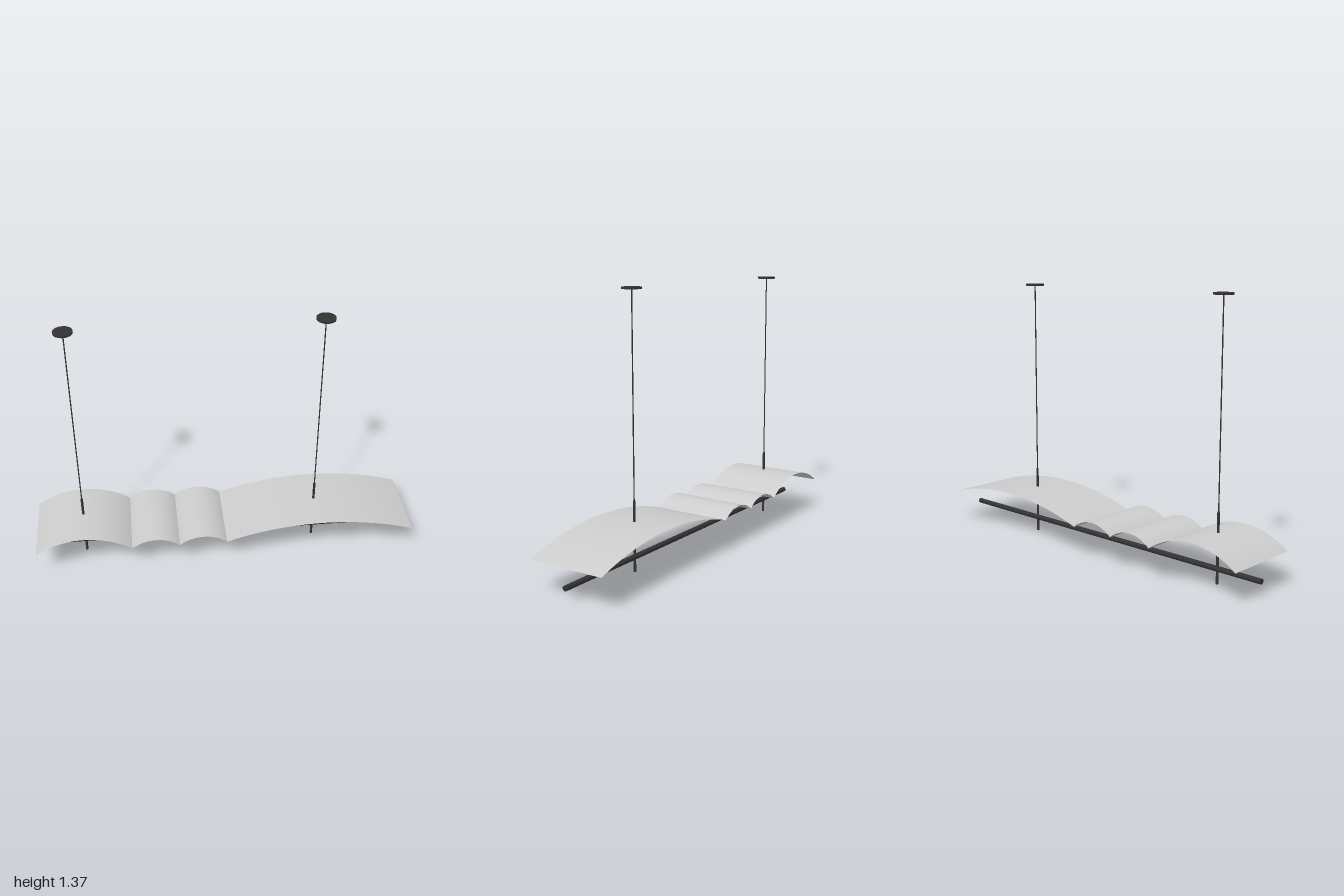
import * as THREE from 'three';

const DEPTH = 0.417, SHEET_BASE = 0.168, BAR_Y = 0.075, TOP = 1.37;

// Thin sheet bent to a circular arc spanning x0..x1
function archGeometry(x0, x1, rise) {
  const half = (x1 - x0) / 2, mid = (x0 + x1) / 2;
  const radius = (half * half + rise * rise) / (2 * rise);
  const sweep = Math.asin(half / radius);
  const geo = new THREE.PlaneGeometry(2, DEPTH, 32, 1).rotateX(-Math.PI / 2);
  const pos = geo.attributes.position, nor = geo.attributes.normal;
  for (let i = 0; i < pos.count; i++) {
    const a = pos.getX(i) * sweep;
    pos.setX(i, mid + radius * Math.sin(a));
    pos.setY(i, SHEET_BASE + rise - radius + radius * Math.cos(a));
    nor.setXYZ(i, Math.sin(a), Math.cos(a), 0);
  }
  return geo;
}

export function createModel() {
  const model = new THREE.Group();
  model.name = 'pendantLamp';
  const shadeMat = new THREE.MeshStandardMaterial({ color: 0xcccccc, side: THREE.DoubleSide });
  shadeMat.name = 'light grey shade';
  const metalMat = new THREE.MeshStandardMaterial({ color: 0x333333 });
  metalMat.name = 'dark metal';

  const add = (parent, name, geo, mat) => {
    const mesh = new THREE.Mesh(geo, mat);
    mesh.name = name;
    parent.add(mesh);
    return mesh;
  };

  // Wavy shade: one wide, two small and one medium arch
  const shade = new THREE.Group();
  shade.name = 'shade';
  model.add(shade);
  [[-1, -0.5, 0.084], [-0.5, -0.25, 0.047], [-0.25, 0, 0.047], [0, 1, 0.084]].forEach(
    ([x0, x1, rise], i) => add(shade, `shadeArch${i + 1}`, archGeometry(x0, x1, rise), shadeMat));

  // Horizontal light bar
  const bar = add(model, 'lightBar', new THREE.CylinderGeometry(0.0135, 0.0135, 2, 16), metalMat);
  bar.rotation.z = Math.PI / 2;
  bar.position.y = BAR_Y;

  // Two suspensions: rod through the shade, cable and ceiling disc
  for (const x of [-0.75, 0.495]) {
    const hanger = new THREE.Group();
    hanger.name = x < 0 ? 'rightSuspension' : 'leftSuspension';
    hanger.position.x = x;
    model.add(hanger);
    const upright = (name, r, y0, y1, sides) => {
      add(hanger, name, new THREE.CylinderGeometry(r, r, y1 - y0, sides), metalMat)
        .position.y = (y0 + y1) / 2;
    };
    upright('rod', 0.0065, 0, 0.355, 12);
    upright('cable', 0.003, 0.355, TOP - 0.005, 8);
    upright('ceilingDisc', 0.048, TOP - 0.01, TOP, 16);
  }
  return model;
}
